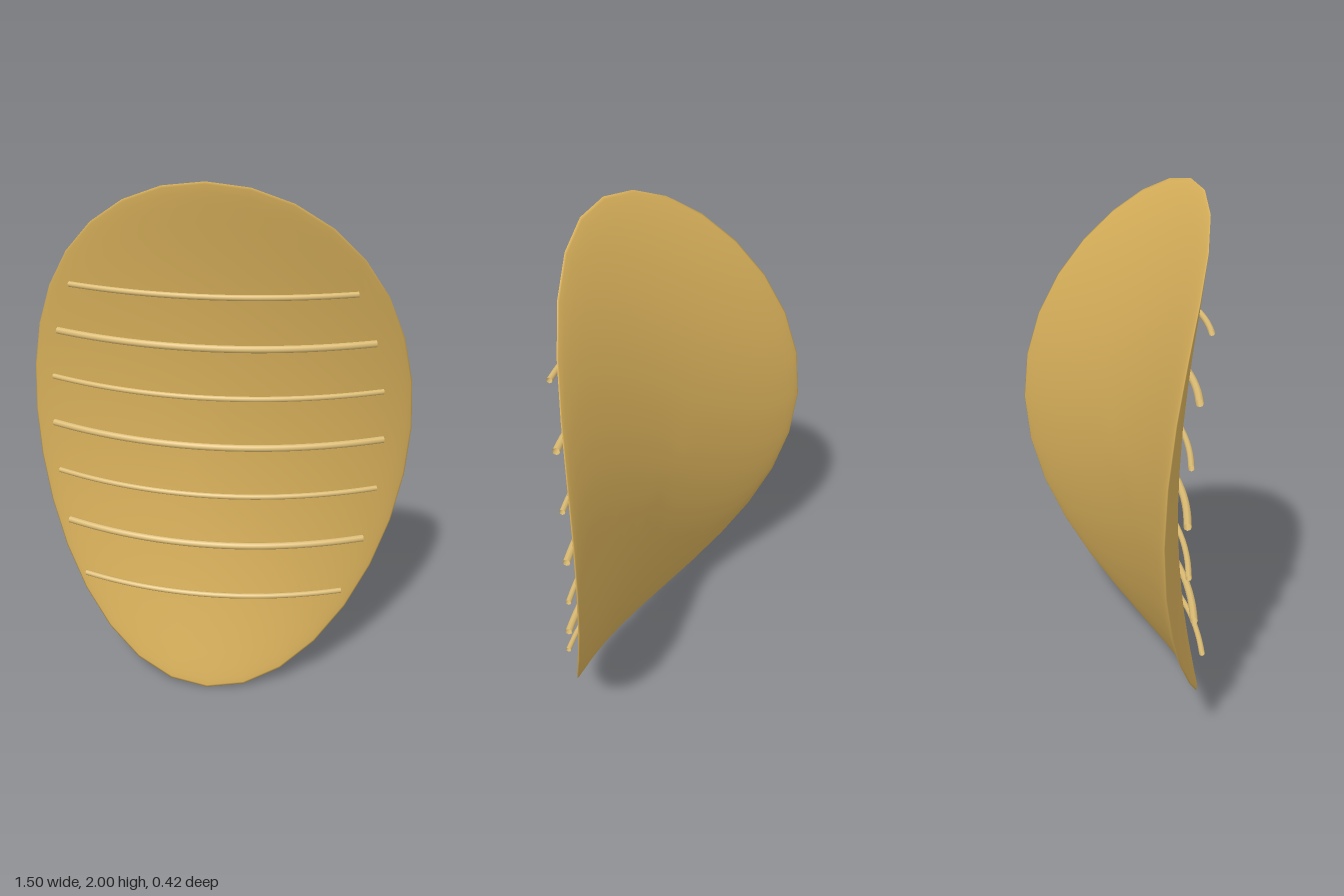
import * as THREE from 'three';
import { mergeVertices } from 'three/addons/utils/BufferGeometryUtils.js';

const HALF_W = 0.75;
const BEND = 0.21;
const THICK = 0.07;

// Saddle mid-surface; u and v run from -1 to 1 across the oval
const saddle = (u, v) => BEND * (v * v - u * u);

// Oval chip: a sphere flattened to a thin lens and bent into a saddle
function chipGeometry() {
  let geo = new THREE.SphereGeometry(1, 32, 24).rotateX(Math.PI / 2);
  geo.deleteAttribute('uv');
  geo.deleteAttribute('normal');
  geo = mergeVertices(geo, 1e-4);
  const p = geo.attributes.position;
  for (let i = 0; i < p.count; i++) {
    const u = p.getX(i), v = p.getY(i), w = p.getZ(i);
    const t = THICK * Math.sign(w) * Math.pow(Math.abs(w), 1.45);
    p.setXYZ(i, u * HALF_W, v, saddle(u, v) + t);
  }
  geo.computeVertexNormals();
  return geo;
}

// Thin rod following the front of the saddle at height v
function ridgeGeometry(v, radius) {
  const reach = 0.85 * Math.sqrt(1 - v * v);
  const points = [];
  for (let i = 0; i <= 16; i++) {
    const u = reach * (i / 8 - 1);
    points.push(new THREE.Vector3(u * HALF_W, v, saddle(u, v) + 0.075));
  }
  return new THREE.TubeGeometry(new THREE.CatmullRomCurve3(points), 24, radius, 8);
}

export function createModel() {
  const chipMat = new THREE.MeshStandardMaterial({ color: 0xd9b15b });
  chipMat.name = 'golden chip';
  const ridgeMat = new THREE.MeshStandardMaterial({ color: 0xdcbc74, side: THREE.DoubleSide });
  ridgeMat.name = 'pale gold ridge';

  const group = new THREE.Group();
  group.name = 'curvedChip';

  const chip = new THREE.Mesh(chipGeometry(), chipMat);
  chip.name = 'chipBody';
  chip.position.y = 1;
  group.add(chip);

  // Seven ridges, alternately thin and thick
  for (let i = -3; i <= 3; i++) {
    const ridge = new THREE.Mesh(ridgeGeometry(i * 0.2, i % 2 ? 0.0105 : 0.0135), ridgeMat);
    ridge.name = `ridge${i + 4}`;
    ridge.position.y = 1;
    group.add(ridge);
  }
  return group;
}
